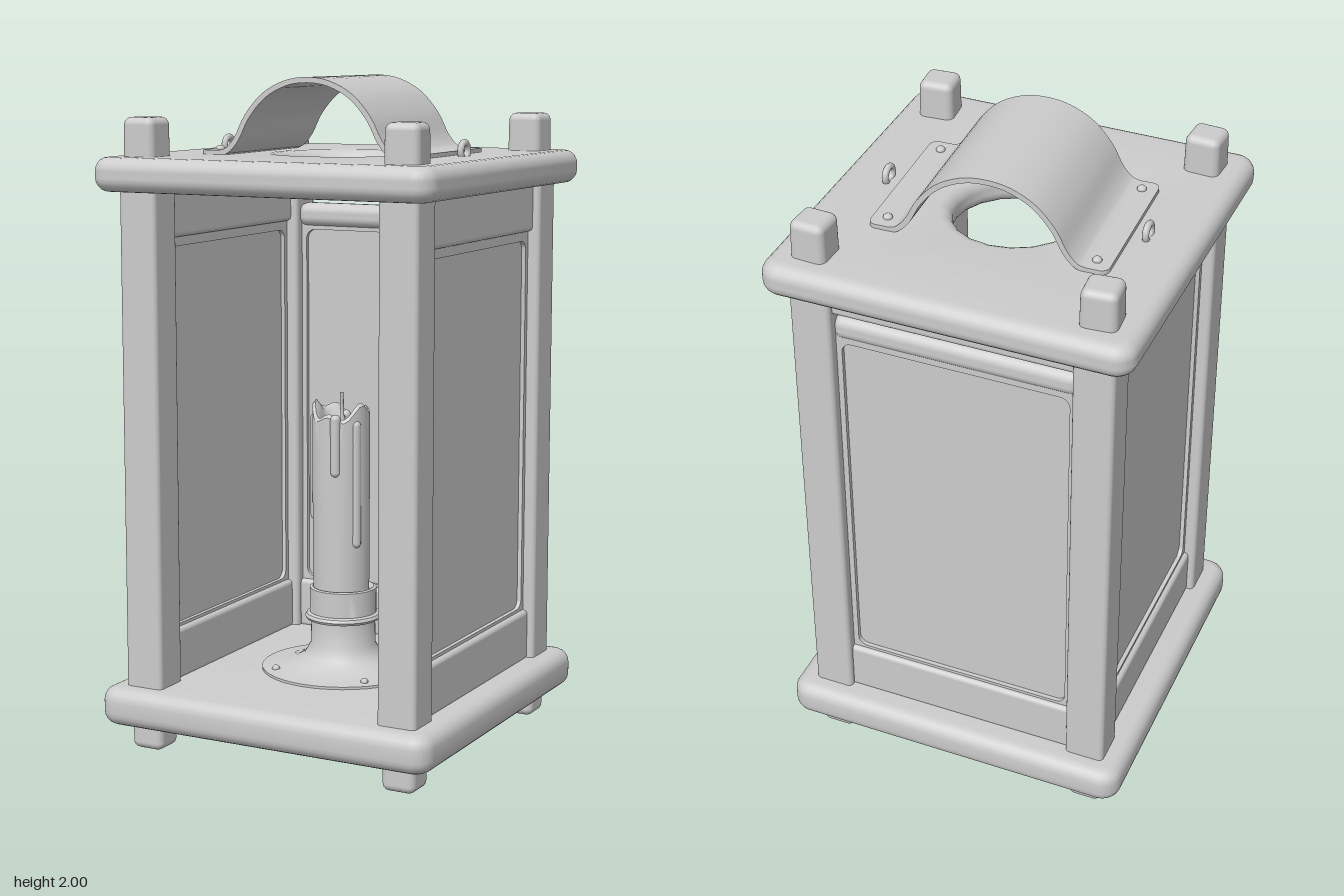
import * as THREE from 'three';
import { toCreasedNormals } from 'three/addons/utils/BufferGeometryUtils.js';
import { RoundedBoxGeometry } from 'three/addons/geometries/RoundedBoxGeometry.js';

const grey = new THREE.MeshStandardMaterial({ color: 0xcccccc });
grey.name = 'light grey';

function add(parent, name, geometry, x = 0, y = 0, z = 0) {
  const mesh = new THREE.Mesh(geometry, grey);
  mesh.name = name;
  mesh.position.set(x, y, z);
  parent.add(mesh);
  return mesh;
}

// Rounded box given by its size
const block = (w, h, d, r = 0.015) => new RoundedBoxGeometry(w, h, d, 3, r);

// Traces a rounded rectangle centred on the origin
function roundedRect(path, w, h, r) {
  const x = w / 2, y = h / 2, q = Math.PI / 2;
  path.moveTo(x, -y + r);
  path.absarc(x - r, y - r, r, 0, q);
  path.absarc(-x + r, y - r, r, q, 2 * q);
  path.absarc(-x + r, -y + r, r, 2 * q, 3 * q);
  path.absarc(x - r, -y + r, r, 3 * q, 4 * q);
  return path;
}

function extrude(shape, depth, bevel, segments = 3) {
  const g = new THREE.ExtrudeGeometry(shape, {
    depth: depth - 2 * bevel, bevelEnabled: bevel > 0, bevelSize: bevel,
    bevelThickness: bevel, bevelSegments: segments, curveSegments: 10,
  });
  g.translate(0, 0, bevel - depth / 2);
  return toCreasedNormals(g, 0.7);
}

// Square slab with soft edges, lying flat, optionally pierced by a round hole
function slab(height, hole) {
  const b = 0.04;
  const shape = roundedRect(new THREE.Shape(), 1.09 - 2 * b, 1.09 - 2 * b, 0.02);
  if (hole) shape.holes.push(new THREE.Path().absarc(0, 0, hole + b, 0, Math.PI * 2));
  return extrude(shape, height, b, 5).rotateX(-Math.PI / 2);
}

// One wall: bottom rail, top rail(s), frame with rounded opening, pane
function makeWall(name, splitTop) {
  const wall = new THREE.Group();
  wall.name = name;
  add(wall, 'bottomRail', block(0.74, 0.16, 0.08), 0, 0.268, 0.42);
  if (splitTop) {
    add(wall, 'lowerTopRail', block(0.74, 0.075, 0.075, 0.03), 0, 1.55, 0.415);
    add(wall, 'upperTopRail', block(0.74, 0.08, 0.08), 0, 1.64, 0.42);
  } else {
    add(wall, 'topRail', block(0.74, 0.15, 0.08), 0, 1.605, 0.42);
  }
  const frame = roundedRect(new THREE.Shape(), 0.73, 1.2, 0.005);
  frame.holes.push(roundedRect(new THREE.Path(), 0.685, 1.145, 0.03));
  add(wall, 'paneFrame', extrude(frame, 0.05, 0), 0, 0.93, 0.42);
  add(wall, 'pane', new THREE.BoxGeometry(0.71, 1.17, 0.024), 0, 0.93, 0.42);
  return wall;
}

// Arched strap of even thickness, with flat rounded feet and rivets
function makeHandle() {
  const handle = new THREE.Group();
  handle.name = 'handle';
  const half = [[0, 1.991], [0.07, 1.981], [0.14, 1.945], [0.195, 1.885], [0.23, 1.82], [0.262, 1.785], [0.29, 1.777]];
  const line = [...half.slice(1).reverse().map(([x, y]) => [-x, y]), ...half];
  const curve = new THREE.SplineCurve(line.map(([x, y]) => new THREE.Vector2(x, y)));
  const outer = [], inner = [];
  for (let i = 0; i <= 48; i++) {
    const p = curve.getPoint(i / 48), t = curve.getTangent(i / 48);
    const n = new THREE.Vector2(-t.y, t.x).multiplyScalar(0.008);
    outer.push(p.clone().add(n));
    inner.push(p.clone().sub(n));
  }
  add(handle, 'strap', extrude(new THREE.Shape([...outer, ...inner.reverse()]), 0.48, 0));
  for (const s of [-1, 1]) {
    const foot = roundedRect(new THREE.Shape(), 0.09, 0.48, 0.025);
    add(handle, 'strapFoot', extrude(foot, 0.016, 0).rotateX(-Math.PI / 2), s * 0.307, 1.777, 0);
    for (const z of [-0.195, 0.195]) {
      const rivet = new THREE.SphereGeometry(0.014, 12, 8).scale(1, 0.8, 1);
      add(handle, 'strapRivet', rivet, s * 0.308, 1.787, z);
    }
  }
  handle.rotation.y = 0.035;
  return handle;
}

function lathe(points, segments = 40) {
  const g = new THREE.LatheGeometry(points.map(([r, y]) => new THREE.Vector2(r, y)), segments);
  return toCreasedNormals(g, 0.6);
}

function makeCandle() {
  const candle = new THREE.Group();
  candle.name = 'candleAndHolder';

  // Holder: wide flange, flared neck, ring and cup
  add(candle, 'holder', lathe([
    [0.25, 0.193], [0.25, 0.203], [0.2, 0.208], [0.15, 0.222], [0.118, 0.242], [0.1, 0.275], [0.098, 0.35],
    [0.112, 0.353], [0.117, 0.361], [0.112, 0.37], [0.102, 0.374], [0.102, 0.45], [0.094, 0.453], [0.08, 0.445],
  ]));
  for (let i = 0; i < 4; i++) {
    const a = Math.PI / 4 + i * Math.PI / 2;
    add(candle, 'flangeRivet', new THREE.SphereGeometry(0.012, 10, 8), 0.215 * Math.cos(a), 0.207, 0.215 * Math.sin(a));
  }

  // Wax column with an uneven melted rim
  const wax = new THREE.LatheGeometry([
    [0.086, 0.42], [0.088, 0.9], [0.087, 0.99], [0.078, 1.0], [0.066, 0.985], [0.055, 0.955], [0, 0.95],
  ].map(([r, y]) => new THREE.Vector2(r, y)), 32);
  const p = wax.attributes.position;
  for (let i = 0; i < p.count; i++) {
    if (p.getY(i) < 0.97) continue;
    const a = Math.atan2(p.getZ(i), p.getX(i));
    p.setY(i, p.getY(i) + 0.018 * Math.cos(2 * a) + 0.014 * Math.sin(5 * a));
  }
  add(candle, 'wax', toCreasedNormals(wax, 0.7), -0.007, 0, 0);

  // Wax drips as [angle, length, centre height]
  for (const [a, length, y] of [[0.5, 0.36, 0.78], [1.3, 0.16, 0.9], [2.9, 0.3, 0.82], [4.4, 0.22, 0.86]]) {
    add(candle, 'waxDrip', new THREE.CapsuleGeometry(0.016, length, 4, 10),
      -0.007 + 0.08 * Math.cos(a), y, 0.08 * Math.sin(a));
  }
  const wick = new THREE.CatmullRomCurve3([[0, 0.94, 0], [-0.004, 1.0, 0], [-0.002, 1.055, 0.006]]
    .map((v) => new THREE.Vector3(...v)));
  add(candle, 'wick', new THREE.TubeGeometry(wick, 8, 0.006, 8));
  return candle;
}

export function createModel() {
  const lantern = new THREE.Group();
  lantern.name = 'lantern';

  add(lantern, 'base', slab(0.115), 0, 0.138, 0);
  add(lantern, 'roof', slab(0.1, 0.18), 0, 1.722, 0);

  // Corner posts with feet below and pegs above
  for (const x of [-0.42, 0.42]) {
    for (const z of [-0.42, 0.42]) {
      add(lantern, 'post', block(0.122, 1.56, 0.122), x, 0.94, z);
      add(lantern, 'foot', block(0.104, 0.14, 0.104, 0.022), x, 0.07, z);
      const peg = block(0.108, 0.18, 0.108, 0.022);
      const p = peg.attributes.position;
      for (let i = 0; i < p.count; i++) {
        const s = 1 - 0.5 * Math.max(0, p.getY(i));
        p.setX(i, p.getX(i) * s);
        p.setZ(i, p.getZ(i) * s);
      }
      add(lantern, 'peg', peg, x, 1.795, z).rotation.y = x * z > 0 ? 0.08 : -0.05;
    }
  }

  // Walls on three sides, open at the front
  const walls = [['leftWall', Math.PI / 2], ['backWall', Math.PI], ['rightWall', -Math.PI / 2]];
  for (const [name, angle] of walls) {
    const wall = makeWall(name, name === 'backWall');
    wall.rotation.y = angle;
    lantern.add(wall);
  }

  // Carrying strap and the small rings beside it
  lantern.add(makeHandle());
  for (const x of [-0.395, 0.395]) {
    add(lantern, 'ring', new THREE.TorusGeometry(0.024, 0.01, 10, 24).rotateY(Math.PI / 2), x, 1.788, 0);
  }

  lantern.add(makeCandle());
  return lantern;
}
